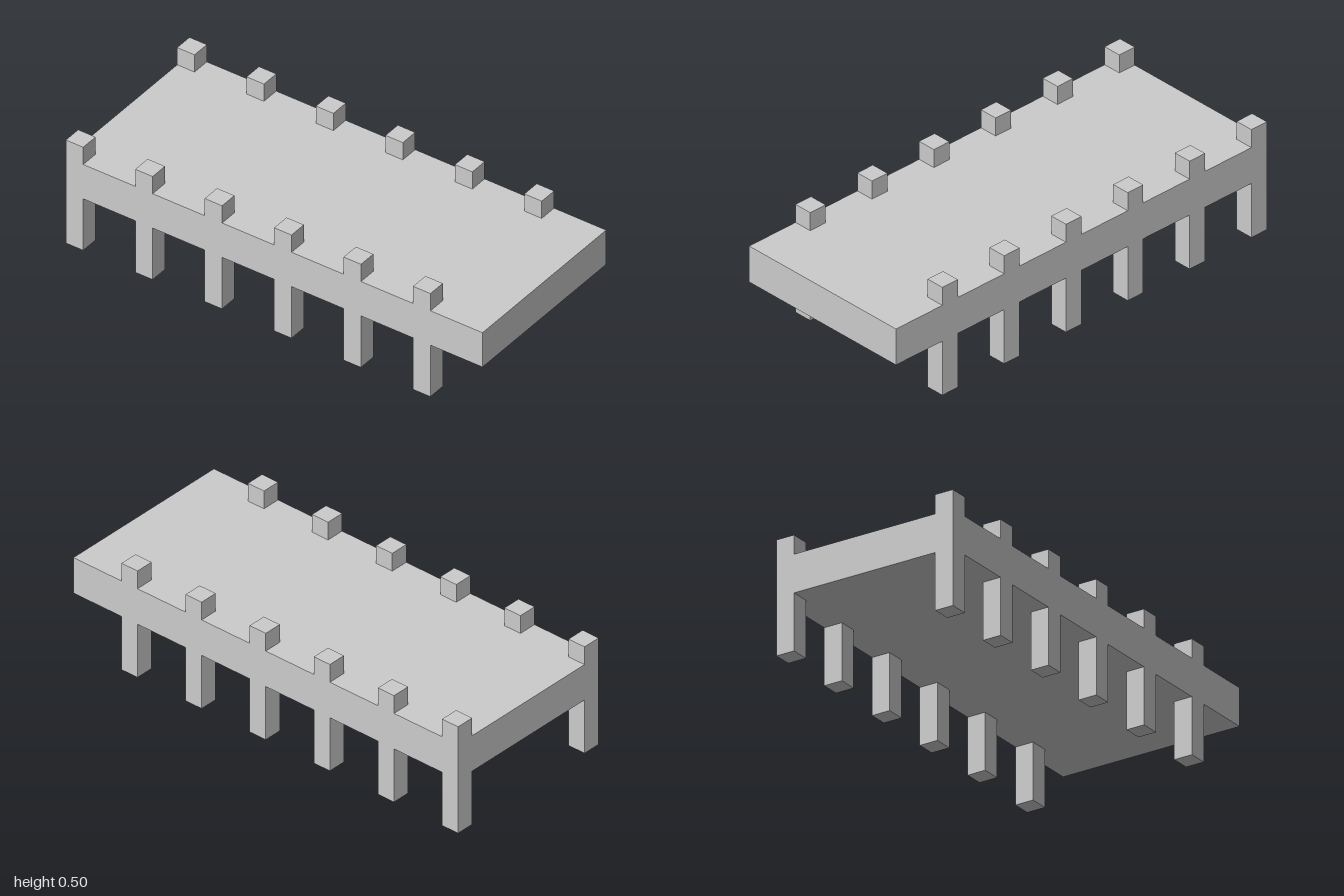
import * as THREE from 'three';

const U = 1 / 12; // module size: every dimension is a multiple of this

export function createModel() {
  const model = new THREE.Group();
  model.name = 'pier';
  const material = new THREE.MeshStandardMaterial({ color: 0xcccccc, flatShading: true });

  // Box resting on height y
  const addBox = (name, w, h, d, x, y, z, parent) => {
    const mesh = new THREE.Mesh(new THREE.BoxGeometry(w, h, d), material);
    mesh.name = name;
    mesh.position.set(x, y + h / 2, z);
    parent.add(mesh);
  };

  // Deck slab
  addBox('deck', 24 * U, 2 * U, 10 * U, 0, 3 * U, 0, model);

  // Posts: a leg below and a stub above the deck, flush with its long edges
  for (const side of [1, -1]) {
    for (let i = 0; i < 6; i++) {
      const post = new THREE.Group();
      post.name = `${side > 0 ? 'front' : 'back'}Post${i + 1}`;
      post.position.set((-11.5 + 4 * i) * U, 0, side * 4.5 * U);
      addBox('leg', U, 3 * U, U, 0, 0, 0, post);
      addBox('postTop', U, U, U, 0, 5 * U, 0, post);
      model.add(post);
    }
  }
  return model;
}
